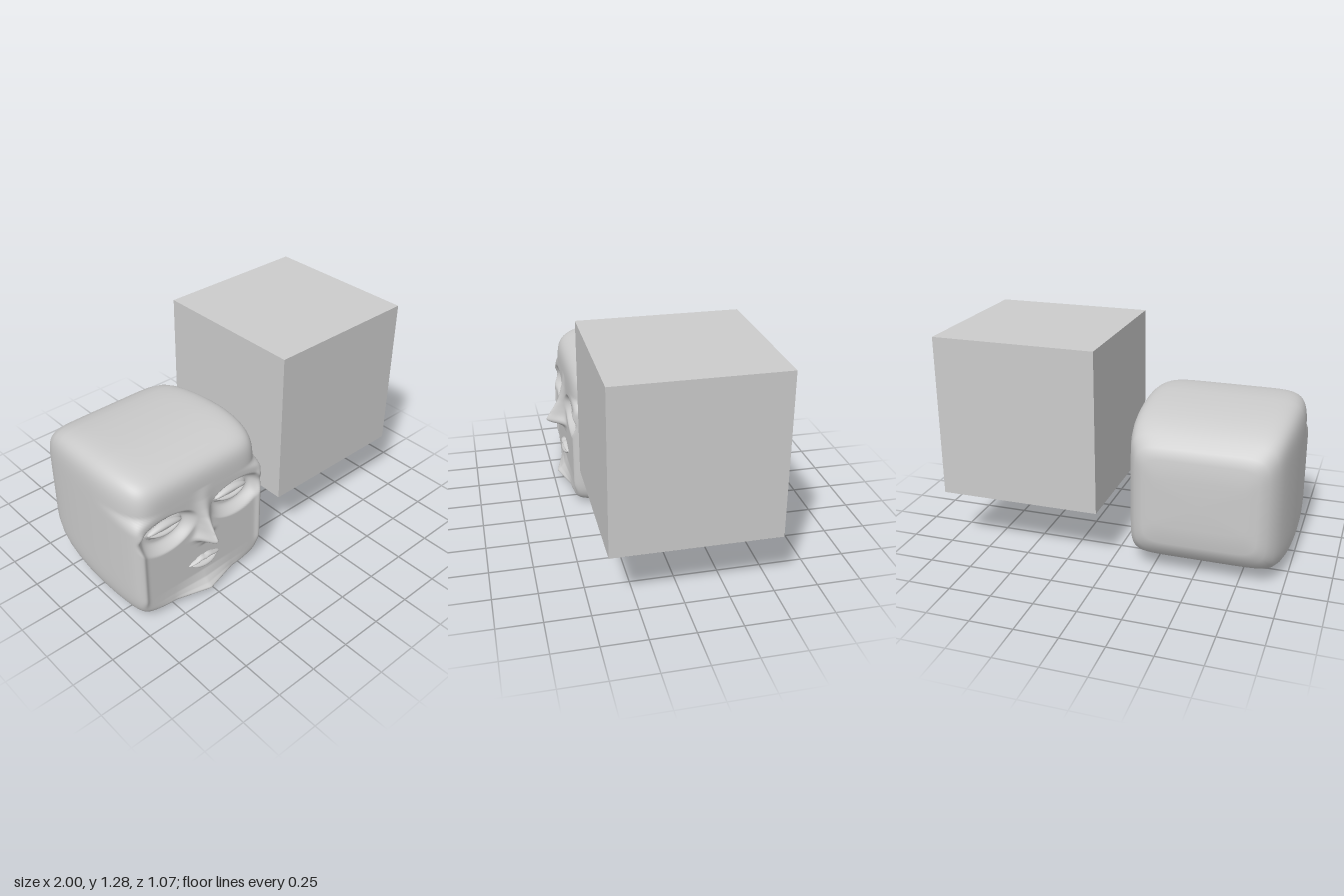
import * as THREE from 'three';
import { mergeVertices } from 'three/addons/utils/BufferGeometryUtils.js';

const material = new THREE.MeshStandardMaterial({ color: 0xcccccc });
const HEAD_X = -0.533, MID_Y = 0.465;
const SEGMENTS = 240, RINGS = 110;

const step = (a, b, v) => {
  const t = Math.min(1, Math.max(0, (v - a) / (b - a)));
  return t * t * (3 - 2 * t);
};
const bell = (v, w) => Math.exp(-(v * v) / (w * w));

// linear lookup in rows of [key, value, ...] with rising keys
function lookup(rows, key) {
  if (key <= rows[0][0]) return rows[0][1];
  for (let i = 1; i < rows.length; i++) {
    const [k0, v0] = rows[i - 1], [k1, v1] = rows[i];
    if (key <= k1) return v0 + (v1 - v0) * (key - k0) / (k1 - k0);
  }
  return rows[rows.length - 1][1];
}

// how far nose and chin stand out, by height
const nose = [[0.33, 0], [0.37, 0.02], [0.39, 0.055], [0.402, 0.10], [0.42, 0.125], [0.44, 0.115],
  [0.5, 0.075], [0.55, 0.045], [0.6, 0.028], [0.66, 0.012], [0.73, 0]];
const chin = [[0.005, 0], [0.02, 0.03], [0.035, 0.072], [0.045, 0.066], [0.06, 0.042], [0.09, 0.015], [0.14, 0]];

// relief of the face; s is 1 at the outline and 0 in the middle
function faceZ(x, y, s) {
  const ax = Math.abs(x);
  // flat face with a tight edge, softer round forehead
  const power = 40 + (10 - 40) * step(0.63, 0.71, y);
  let z = 0.05 + 0.36 * Math.sqrt(Math.max(0, 1 - Math.pow(s, power)));
  // eye sockets: sharp under the brow, soft towards the cheeks
  const e = ((ax - 0.245) / 0.205) ** 2 + ((y - 0.56) / (y > 0.56 ? 0.1 : 0.14)) ** 2;
  z -= 0.06 * (1 - step(0.35, 1, e));
  // eyeball
  const ball = 1 - ((ax - 0.235) / 0.125) ** 2 - ((y - 0.558) / 0.055) ** 2;
  z += 0.025 * Math.sqrt(Math.max(0, ball));
  // nose, wider at the nostrils
  const width = 0.03 + 0.016 * bell(y - 0.4, 0.04) + 0.02 * step(0.5, 0.66, y);
  z += lookup(nose, y) * bell(ax, width);
  // chin ledge
  z += lookup(chin, y) * (0.85 * Math.max(0, 1 - ax / 0.21) + 0.15 * (1 - step(0.2, 0.38, ax)));
  // raised rim along the cheeks
  z += 0.012 * bell(ax - 0.415, 0.02) * step(0.08, 0.16, y) * (1 - step(0.58, 0.66, y));
  return z;
}

// unit outline of the head, a rounded square
function outline(k) {
  const t = (k / SEGMENTS) * Math.PI * 2, n = 8;
  const c = Math.cos(t), s = Math.sin(t);
  const r = Math.pow(Math.abs(c) ** n + Math.abs(s) ** n, -1 / n);
  return [c * r, s * r];
}

function headGeometry() {
  // cross-sections from the back forward: z, half width, half height
  const sections = [[-0.535, 0.001, 0.001], [-0.535, 0.25, 0.14], [-0.527, 0.32, 0.25], [-0.505, 0.37, 0.31],
    [-0.45, 0.41, 0.365], [-0.38, 0.432, 0.405], [-0.3, 0.447, 0.43], [-0.2, 0.459, 0.447], [-0.1, 0.466, 0.458],
    [0.0, 0.469, 0.464]];
  const positions = [], index = [];
  for (const [z, a, b] of sections) {
    for (let k = 0; k < SEGMENTS; k++) {
      const [u, v] = outline(k);
      positions.push(u * a, MID_Y + v * b, z);
    }
  }
  for (let i = 0; i <= RINGS; i++) {
    const s = 1 - (i / RINGS) ** 2; // rings crowd at the edge
    for (let k = 0; k < SEGMENTS; k++) {
      const [u, v] = outline(k);
      const x = 0.47 * s * u, y = MID_Y + 0.465 * s * v;
      positions.push(x, y, faceZ(x, y, s));
    }
  }
  const loops = sections.length + RINGS + 1;
  for (let r = 0; r < loops - 1; r++) {
    for (let k = 0; k < SEGMENTS; k++) {
      const k2 = (k + 1) % SEGMENTS;
      const a = r * SEGMENTS + k, b = r * SEGMENTS + k2;
      const c = b + SEGMENTS, d = a + SEGMENTS;
      index.push(a, b, c, a, c, d);
    }
  }
  let geometry = new THREE.BufferGeometry();
  geometry.setAttribute('position', new THREE.Float32BufferAttribute(positions, 3));
  geometry.setIndex(index);
  geometry = mergeVertices(geometry, 1e-5);
  geometry.computeVertexNormals();
  return geometry;
}

// lens-shaped pad bent by a rule y += bend(x), x from -1 to 1
function pad(name, w, h, d, x, y, z, bend) {
  const geometry = new THREE.SphereGeometry(1, 32, 16);
  const p = geometry.attributes.position;
  for (let i = 0; i < p.count; i++) {
    const u = p.getX(i);
    p.setXYZ(i, u * w, p.getY(i) * h + bend(u), p.getZ(i) * d);
  }
  geometry.computeVertexNormals();
  const mesh = new THREE.Mesh(geometry, material);
  mesh.name = name;
  mesh.position.set(x, y, z);
  return mesh;
}

export function createModel() {
  const model = new THREE.Group();
  model.name = 'headAndCube';

  const cube = new THREE.Mesh(new THREE.BoxGeometry(0.945, 0.945, 0.94), material);
  cube.name = 'cube';
  cube.position.set(0.5275, 0.8125, -0.065);
  model.add(cube);

  const head = new THREE.Group();
  head.name = 'head';
  head.position.x = HEAD_X;
  const skull = new THREE.Mesh(headGeometry(), material);
  skull.name = 'skullAndFace';
  head.add(skull);

  // nearly closed eyelids
  for (const side of [-1, 1]) {
    head.add(pad('upperEyelid', 0.115, 0.021, 0.03, side * 0.235, 0.582, 0.367, u => -0.022 * u * u));
    head.add(pad('lowerEyelid', 0.105, 0.015, 0.026, side * 0.235, 0.532, 0.367, u => 0.022 * u * u));
  }

  // lips, the upper one with a dip in the middle
  head.add(pad('upperLip', 0.112, 0.015, 0.03, 0, 0.241, 0.408,
    u => 0.008 * bell(Math.abs(u) - 0.25, 0.2) - 0.018 * u * u));
  head.add(pad('lowerLip', 0.09, 0.018, 0.03, 0, 0.196, 0.408, u => 0.018 * u * u));
  model.add(head);
  return model;
}
